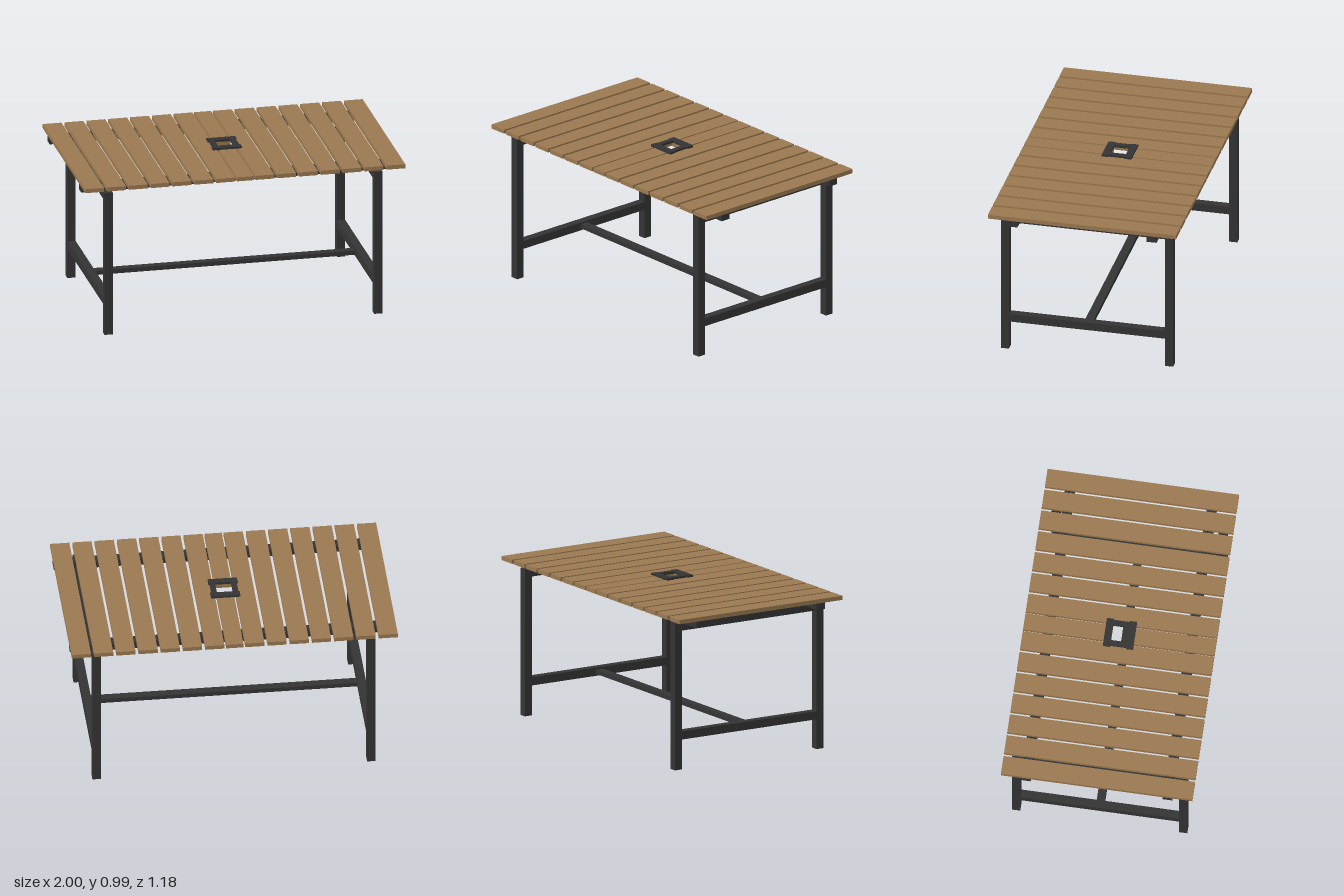
import * as THREE from 'three';

const wood = new THREE.MeshStandardMaterial({ color: 0x9b7950 });
wood.name = 'wood';
const metal = new THREE.MeshStandardMaterial({ color: 0x343434 });
metal.name = 'dark metal';

// Box given by its minimum and maximum on each axis
function bar(parent, name, material, [x0, x1], [y0, y1], [z0, z1]) {
  const mesh = new THREE.Mesh(new THREE.BoxGeometry(x1 - x0, y1 - y0, z1 - z0), material);
  mesh.position.set((x0 + x1) / 2, (y0 + y1) / 2, (z0 + z1) / 2);
  mesh.name = name;
  parent.add(mesh);
}

// Range on the +1 or -1 side of an axis
const side = (s, a, b) => (s > 0 ? [a, b] : [-b, -a]);

export function createModel() {
  const table = new THREE.Group();
  table.name = 'table';

  // Table top: seven slats each side of a split middle slat
  const top = new THREE.Group();
  top.name = 'tableTop';
  table.add(top);
  const slatY = [0.949, 0.975];
  for (const s of [1, -1]) {
    for (let i = 0; i < 7; i++) {
      const x = 0.064 + i * 0.1364;
      bar(top, 'slat', wood, side(s, x, x + 0.1176), slatY, [-0.59, 0.59]);
    }
    bar(top, 'middleSlat', wood, [-0.053, 0.053], slatY, side(s, 0.049, 0.59));
  }

  // Raised frame around the parasol hole
  const frame = new THREE.Group();
  frame.name = 'holeFrame';
  table.add(frame);
  for (const s of [1, -1]) {
    bar(frame, 'frameEnd', metal, [-0.09, 0.09], [0.973, 0.988], side(s, 0.049, 0.093));
    bar(frame, 'frameSide', metal, side(s, 0.049, 0.083), [0.973, 0.988], [-0.05, 0.05]);
  }

  // Long beams below the slats
  for (const s of [1, -1]) {
    bar(table, 'topBeam', metal, [-0.998, 0.998], [0.909, 0.954], side(s, 0.405, 0.467));
  }

  // End frames: two legs and two rails each
  for (const s of [1, -1]) {
    const end = new THREE.Group();
    end.name = s > 0 ? 'leftEndFrame' : 'rightEndFrame';
    table.add(end);
    const x = side(s, 0.817, 0.868);
    for (const t of [1, -1]) bar(end, 'leg', metal, x, [0, 0.921], side(t, 0.489, 0.54));
    bar(end, 'upperRail', metal, x, [0.87, 0.921], [-0.489, 0.489]);
    bar(end, 'lowerRail', metal, x, [0.187, 0.238], [-0.489, 0.489]);
  }

  // Stretcher joining the lower rails
  bar(table, 'stretcher', metal, [-0.817, 0.817], [0.2, 0.227], [-0.026, 0.026]);

  return table;
}
